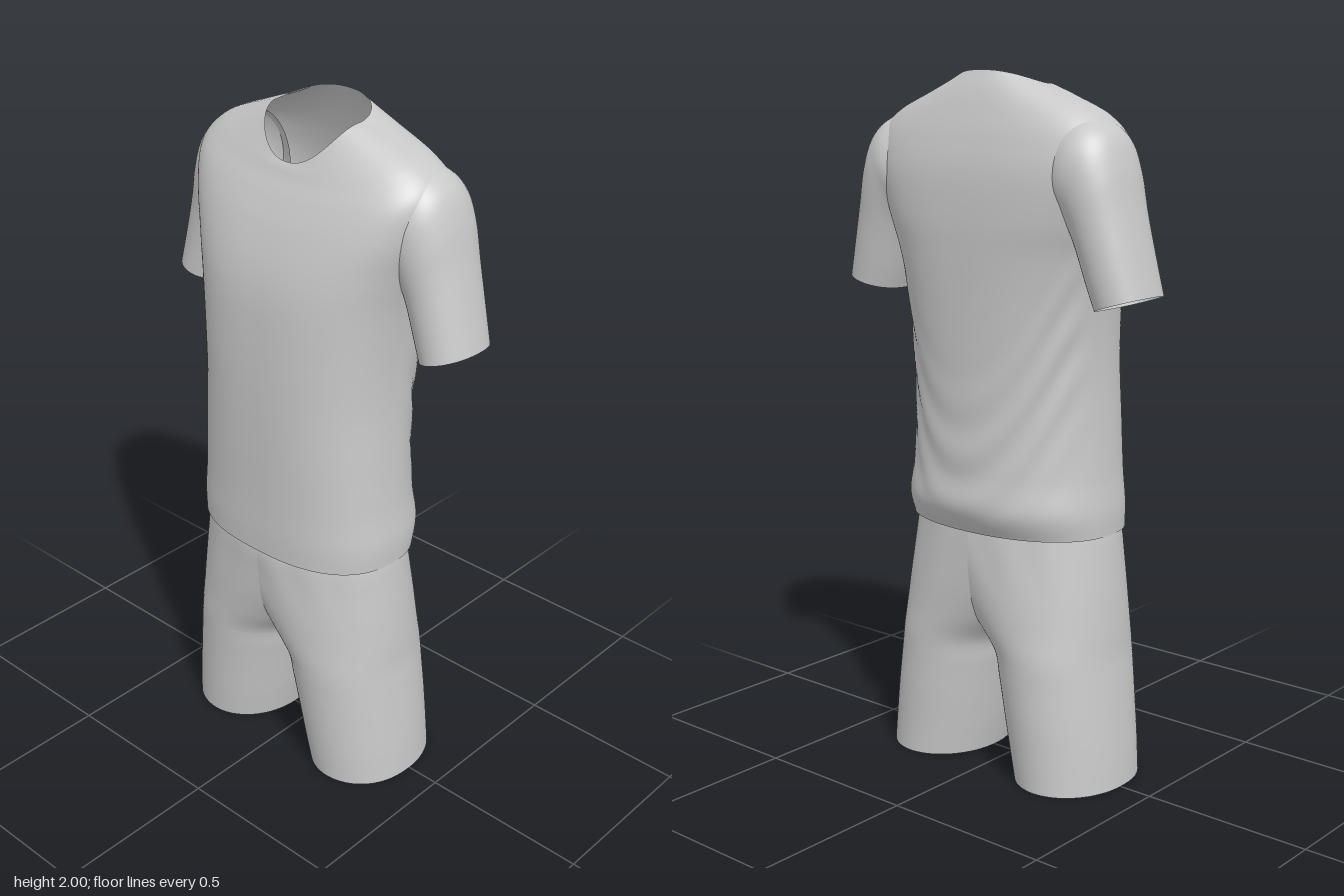
import * as THREE from 'three';

const { smoothstep, clamp } = THREE.MathUtils;
const spow = (v, e) => Math.sign(v) * Math.abs(v) ** e;

// Smoothly interpolate rows of section parameters, t in 0..1
function sampleRows(rows, t) {
  const f = t * (rows.length - 1);
  const i = Math.min(Math.floor(f), rows.length - 2);
  const u = f - i;
  const at = (k) => rows[clamp(k, 0, rows.length - 1)];
  const [p, q, r, s] = [at(i - 1), at(i), at(i + 1), at(i + 2)];
  return q.map((b, k) => {
    const m0 = (r[k] - p[k]) / 2, m1 = (s[k] - b) / 2, d = r[k] - b;
    return b + u * (m0 + u * (3 * d - 2 * m0 - m1 + u * (m0 + m1 - 2 * d)));
  });
}

// Loft a surface through sections listed from bottom to top
function loft(rows, point, closed, steps = 72, around = 80) {
  const pos = [], index = [], n = closed ? around : around + 1;
  for (let j = 0; j <= steps; j++) {
    const row = sampleRows(rows, j / steps);
    for (let i = 0; i < n; i++) pos.push(...point(row, i / around));
  }
  for (let j = 0; j < steps; j++) {
    for (let i = 0; i < around; i++) {
      const k = (i + 1) % n;
      const a = j * n + i, b = j * n + k, c = a + n, d = b + n;
      index.push(a, c, b, b, c, d);
    }
  }
  const g = new THREE.BufferGeometry();
  g.setAttribute('position', new THREE.Float32BufferAttribute(pos, 3));
  g.setIndex(index);
  g.computeVertexNormals();
  return g;
}

// Shirt body: half width, side y, front z, front y, back z, back y, middle z,
// front roundness, back roundness
const BODY = [
  [0.333, 0.73, 0.241, 0.73, -0.206, 0.73, 0.01, 0.80, 0.90],
  [0.333, 0.80, 0.243, 0.80, -0.240, 0.80, 0.01, 0.80, 0.92],
  [0.322, 0.90, 0.243, 0.90, -0.236, 0.90, 0.01, 0.80, 0.97],
  [0.312, 1.05, 0.245, 1.05, -0.232, 1.05, 0.01, 0.80, 0.97],
  [0.306, 1.20, 0.246, 1.20, -0.232, 1.20, 0.00, 0.80, 0.93],
  [0.310, 1.35, 0.243, 1.35, -0.235, 1.35, -0.01, 0.78, 0.86],
  [0.327, 1.50, 0.234, 1.50, -0.238, 1.50, -0.03, 0.76, 0.78],
  [0.354, 1.61, 0.215, 1.60, -0.238, 1.61, -0.05, 0.74, 0.70],
  [0.390, 1.73, 0.180, 1.70, -0.230, 1.73, -0.06, 0.73, 0.69],
  [0.396, 1.825, 0.147, 1.77, -0.210, 1.82, -0.06, 0.75, 0.74],
  [0.342, 1.888, 0.122, 1.815, -0.187, 1.89, -0.055, 0.80, 0.80],
  [0.240, 1.932, 0.110, 1.84, -0.163, 1.95, -0.04, 0.85, 0.85],
  [0.145, 1.964, 0.100, 1.855, -0.135, 2.00, -0.02, 0.88, 0.88],
];
function bodyPoint([w, yS, zf, yF, zb, yB, zc, ef, eb], t) {
  const c = Math.cos(t * 2 * Math.PI), s = Math.sin(t * 2 * Math.PI);
  const front = s > 0;
  const e = front ? ef : eb;
  const y = yS + (front ? (yF - yS) * s * s : (yB - yS) * Math.abs(s) ** 1.4);
  // Cloth folds sweeping from the sides down to the small of the back
  const v = y - 0.92 - 0.42 * c * c;
  const fold = 0.012 * Math.sin(v * 42) * Math.exp(-((v * 5) ** 2))
    * smoothstep(-s, 0.05, 0.5) * smoothstep(y, 0.74, 0.84);
  const k = 1 + fold;
  return [w * k * spow(c, e), y, zc + (front ? zf - zc : zc - zb) * k * spow(s, e)];
}

// Sleeve: outer x, outer y, inner x, inner y, half depth, middle z
const SLEEVE = [
  [0.527, 1.422, 0.372, 1.375, 0.109, -0.061],
  [0.500, 1.530, 0.350, 1.435, 0.113, -0.065],
  [0.470, 1.650, 0.325, 1.510, 0.119, -0.068],
  [0.445, 1.755, 0.305, 1.560, 0.128, -0.068],
  [0.412, 1.832, 0.285, 1.590, 0.134, -0.067],
  [0.360, 1.873, 0.260, 1.610, 0.134, -0.067],
  [0.290, 1.890, 0.220, 1.640, 0.110, -0.066],
];
function sleevePoint([xo, yo, xi, yi, b, zc], t) {
  const c = Math.cos(t * 2 * Math.PI), s = Math.sin(t * 2 * Math.PI);
  return [
    (xo + xi) / 2 + (xo - xi) / 2 * c,
    (yo + yi) / 2 + (yo - yi) / 2 * c,
    zc + b * spow(s, 0.88),
  ];
}

// Shorts leg: y, centre x, half width, centre z, half depth.
// Sections are cut at x = 0, so the two legs join above the crotch.
const LEG = [
  [0.005, 0.237, 0.162, 0.000, 0.198],
  [0.10, 0.223, 0.169, 0.003, 0.202],
  [0.20, 0.208, 0.174, 0.005, 0.206],
  [0.30, 0.192, 0.179, 0.008, 0.209],
  [0.38, 0.177, 0.185, 0.010, 0.212],
  [0.46, 0.134, 0.224, 0.012, 0.214],
  [0.55, 0.086, 0.265, 0.014, 0.217],
  [0.64, 0.041, 0.301, 0.016, 0.218],
  [0.72, 0.005, 0.328, 0.018, 0.218],
  [0.78, 0.000, 0.322, 0.016, 0.210],
];
function legPoint([y, cx, a, zc, b], t) {
  const limit = Math.acos(clamp(-cx / a, -1, 1));
  const angle = (t * 2 - 1) * limit;
  // Soft gathers under the waistband
  const k = 1 + 0.006 * Math.sin(angle * 14) * smoothstep(y, 0.52, 0.68);
  // Fuller at the outer front, rounder behind and inside
  const e = angle > 0 && angle < Math.PI / 2 ? 0.85 : 0.98;
  return [
    Math.max(0, cx + a * Math.cos(angle)),
    y,
    zc + b * k * spow(Math.sin(angle), e),
  ];
}

export function createModel() {
  const fabric = new THREE.MeshStandardMaterial({ color: 0xc8c8c8, side: THREE.DoubleSide });
  fabric.name = 'light grey fabric';

  const model = new THREE.Group();
  model.name = 'sportsOutfit';
  const shirt = new THREE.Group();
  shirt.name = 'shirt';
  const shorts = new THREE.Group();
  shorts.name = 'shorts';
  model.add(shirt, shorts);

  const add = (parent, name, geometry, side = 1) => {
    const mesh = new THREE.Mesh(geometry, fabric);
    mesh.name = name;
    mesh.scale.x = side;
    parent.add(mesh);
  };

  add(shirt, 'shirtBody', loft(BODY, bodyPoint, true, 120, 120));

  const sleeve = loft(SLEEVE, sleevePoint, true, 40, 56);
  const leg = loft(LEG, legPoint, false);
  for (const [label, side] of [['left', 1], ['right', -1]]) {
    add(shirt, label + 'Sleeve', sleeve, side);
    add(shorts, label + 'Leg', leg, side);
  }
  return model;
}
